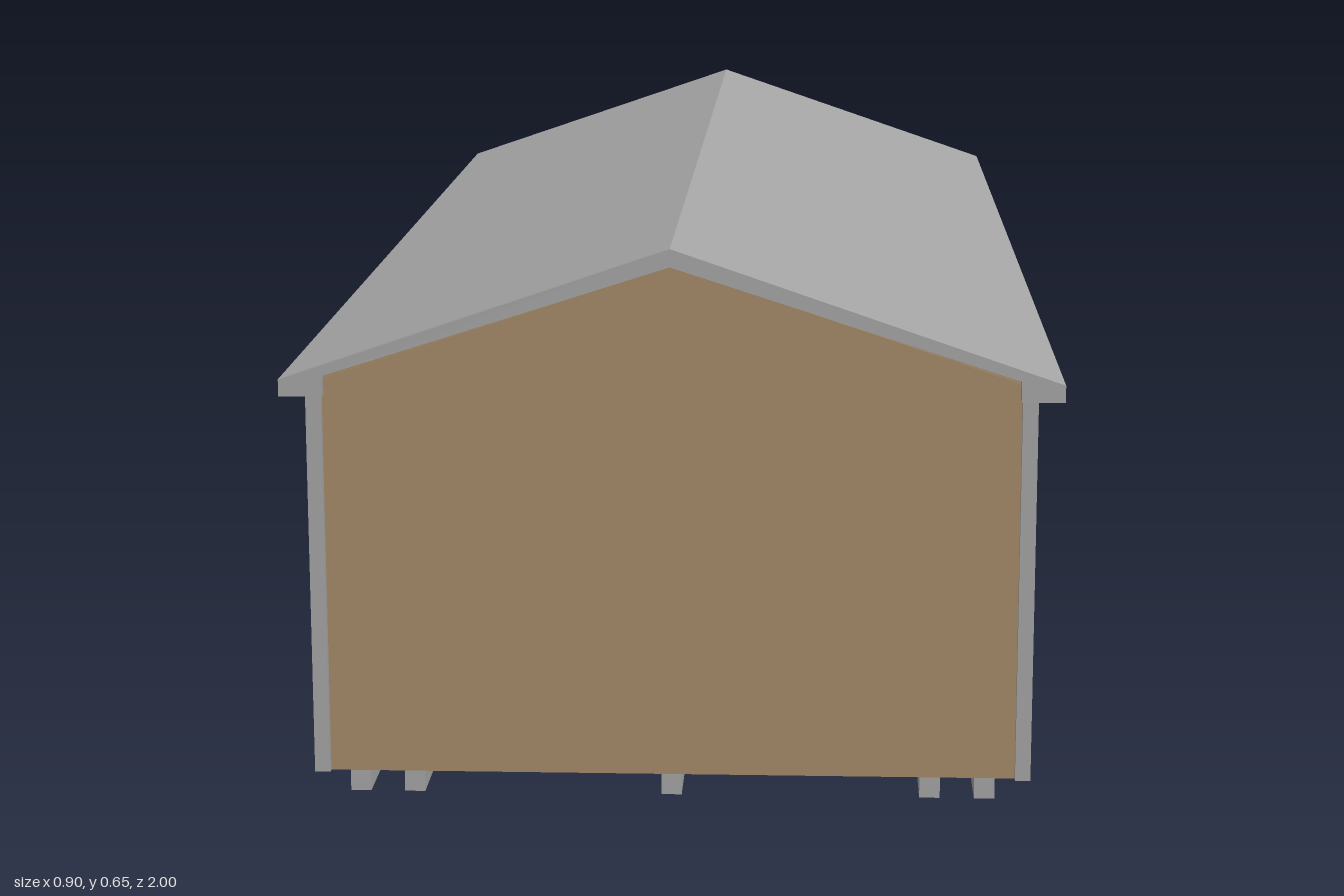
import * as THREE from 'three';

export function createModel() {
  const model = new THREE.Group();
  model.name = 'shed';
  const siding = new THREE.MeshStandardMaterial({ color: 0xa68b69 });
  siding.name = 'tan siding';
  const metal = new THREE.MeshStandardMaterial({ color: 0xa6a6a6 });
  metal.name = 'grey metal';

  const add = (name, geometry, material, x = 0, y = 0, z = 0) => {
    const mesh = new THREE.Mesh(geometry, material);
    mesh.name = name;
    mesh.position.set(x, y, z);
    model.add(mesh);
  };
  // Extrude a front outline along z, centred on the given z
  const prism = (name, points, depth, material, z = 0) => {
    const shape = new THREE.Shape(points.map(([x, y]) => new THREE.Vector2(x, y)));
    const geometry = new THREE.ExtrudeGeometry(shape, { depth, bevelEnabled: false });
    add(name, geometry, material, 0, 0, z - depth / 2);
  };

  // Gable roof with boxed eaves
  prism('roof', [
    [-0.45, 0.478], [-0.4, 0.478], [-0.4, 0.502], [0, 0.631], [0.4, 0.502],
    [0.4, 0.478], [0.45, 0.478], [0.45, 0.498], [0, 0.652], [-0.45, 0.498],
  ], 2, metal);

  // Sloped ceiling lining under the roof
  prism('ceiling', [
    [-0.4, 0.496], [0, 0.625], [0.4, 0.496], [0.4, 0.5], [0, 0.629], [-0.4, 0.5],
  ], 1.97, siding);

  for (const s of [-1, 1]) {
    // End walls and side walls
    prism(s > 0 ? 'frontWall' : 'backWall', [
      [-0.41, 0.025], [0.41, 0.025], [0.41, 0.494], [0, 0.63], [-0.41, 0.494],
    ], 0.006, siding, s * 0.984);
    add(s > 0 ? 'leftWall' : 'rightWall', new THREE.BoxGeometry(0.006, 0.46, 1.968), siding, s * 0.407, 0.255, 0);

    // Corner posts
    for (const e of [-1, 1]) {
      add('cornerPost', new THREE.BoxGeometry(0.018, 0.455, 0.02), metal, s * 0.411, 0.2525, e * 0.985);
    }
  }

  // Ground skids running the full length
  for (const x of [-0.367, -0.303, 0, 0.303, 0.367]) {
    add('skid', new THREE.BoxGeometry(0.024, 0.025, 1.974), metal, x, 0.0125, 0);
  }
  return model;
}
